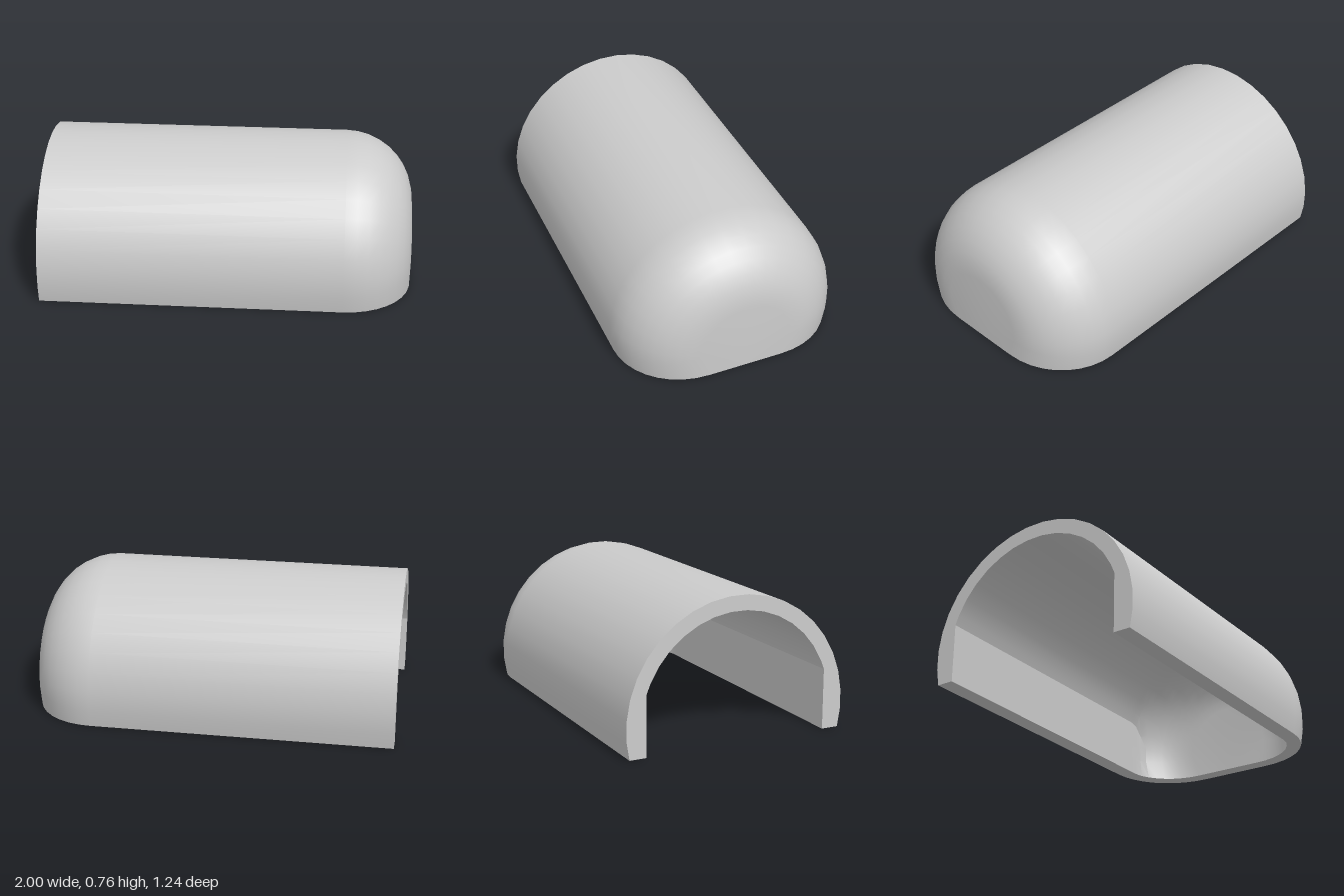
import * as THREE from 'three';
import { toCreasedNormals } from 'three/addons/utils/BufferGeometryUtils.js';

const AXIS_Y = 0.145;   // height of the barrel axis
const CORE = 0.25;      // radius of the flat part of the closed end
const FILLET_X = 0.63;  // where the rounding of the closed end begins
const material = new THREE.MeshStandardMaterial({ color: 0xcccccc, side: THREE.DoubleSide });

// Skin a grid of points: rows[i][j] is a Vector3
function loft(name, rows, flip = false) {
  const pos = [];
  const tri = (a, b, c) => {
    const area = b.clone().sub(a).cross(c.clone().sub(a)).length();
    if (area < 1e-9) return;
    for (const p of flip ? [a, c, b] : [a, b, c]) pos.push(p.x, p.y, p.z);
  };
  for (let i = 0; i + 1 < rows.length; i++) {
    for (let j = 0; j + 1 < rows[i].length; j++) {
      const a = rows[i][j], b = rows[i][j + 1], c = rows[i + 1][j], d = rows[i + 1][j + 1];
      tri(a, b, c);
      tri(b, d, c);
    }
  }
  const geo = new THREE.BufferGeometry();
  geo.setAttribute('position', new THREE.Float32BufferAttribute(pos, 3));
  const mesh = new THREE.Mesh(toCreasedNormals(geo, 0.3), material);
  mesh.name = name;
  return mesh;
}

// Arc over the axis, cut off at the ground; maxZ flattens the sides
function section(x, radius, maxZ) {
  const end = Math.PI / 2 + Math.asin(AXIS_Y / radius);
  const angles = [-end];
  for (let deg = -95; deg <= 95; deg += 10) {
    let t = THREE.MathUtils.degToRad(deg);
    // put a vertex exactly where the arc meets the flat side wall
    if (Math.abs(deg) === 75 && radius > maxZ) t = Math.sign(deg) * Math.asin(maxZ / radius);
    angles.push(t);
  }
  angles.push(end);
  return angles.map((t) => new THREE.Vector3(
    x,
    Math.abs(t) === end ? 0 : AXIS_Y + radius * Math.cos(t),
    THREE.MathUtils.clamp(radius * Math.sin(t), -maxZ, maxZ)));
}

// Straight barrel, quarter-round fillet, then a flat end closing at ground level
function shellRows(fillet, maxZ) {
  const rows = [section(-1, CORE + fillet, maxZ)];
  for (let k = 0; k <= 9; k++) {
    const a = (k / 9) * Math.PI / 2;
    rows.push(section(FILLET_X + fillet * Math.sin(a), CORE + fillet * Math.cos(a), maxZ));
  }
  rows.push(rows[0].map(() => new THREE.Vector3(FILLET_X + fillet, 0, 0)));
  return rows;
}

export function createModel() {
  const group = new THREE.Group();
  group.name = 'roundedCover';

  const outer = shellRows(0.37, 1);
  const inner = shellRows(0.29, 0.51);
  group.add(loft('outerShell', outer));
  group.add(loft('innerShell', inner, true));

  // Rim of the open end
  group.add(loft('openEndRim', [outer[0], inner[0]], true));

  // Bottom rim on both sides, running round to the middle of the closed end
  const last = outer[0].length - 1;
  for (const [name, j, flip] of [['bottomRimLeft', last, true], ['bottomRimRight', 0, false]]) {
    group.add(loft(name, [outer.map((r) => r[j]), inner.map((r) => r[j])], flip));
  }
  return group;
}
